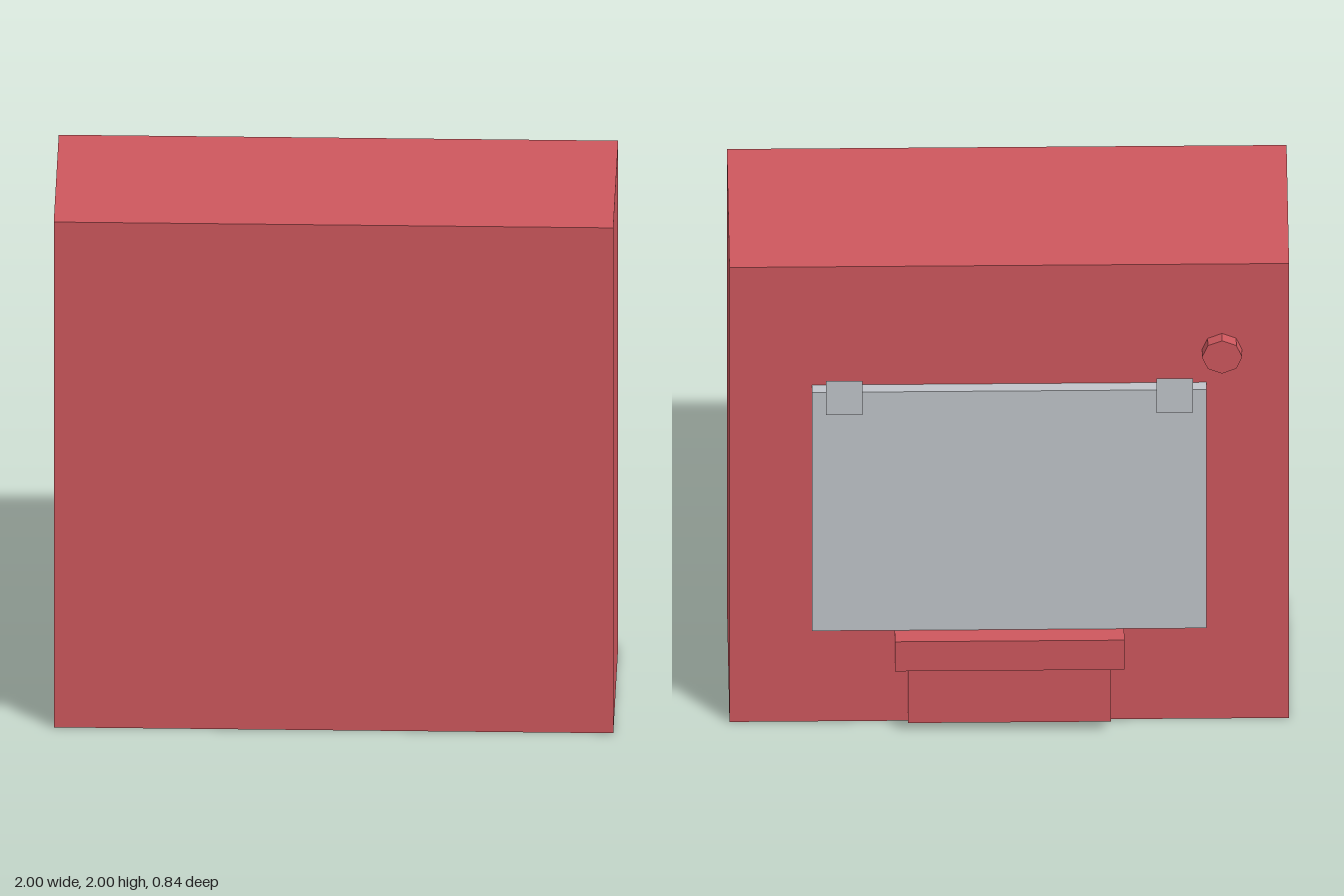
import * as THREE from 'three';

export function createModel() {
  const model = new THREE.Group();
  const red = new THREE.MeshStandardMaterial({ color: 0xcd575d, name: 'red' });
  const grey = new THREE.MeshStandardMaterial({ color: 0xc0c4ca, name: 'grey', side: THREE.DoubleSide });

  const BACK = -0.305; // rear face of the body

  // Box given by its limits on each axis
  function box(name, material, [x0, x1], [y0, y1], [z0, z1], parent = model) {
    const mesh = new THREE.Mesh(new THREE.BoxGeometry(x1 - x0, y1 - y0, z1 - z0), material);
    mesh.position.set((x0 + x1) / 2, (y0 + y1) / 2, (z0 + z1) / 2);
    mesh.name = name;
    parent.add(mesh);
    return mesh;
  }

  // Main block
  box('body', red, [-1, 1], [0, 2], [BACK, 0.42]);

  // Rear panel: a shallow cover, open at the bottom
  const panel = new THREE.Group();
  panel.name = 'rearPanel';
  model.add(panel);
  const t = 0.004;
  box('panelSheet', grey, [-0.705, 0.705], [0.43, 1.48], [-0.35, -0.35 + t], panel);
  box('panelTop', grey, [-0.705, 0.705], [1.48 - t, 1.48], [-0.35 + t, BACK], panel);
  for (const s of [-1, 1]) {
    const x = [s * 0.705, s * (0.705 - t)].sort((a, b) => a - b);
    box('panelSide', grey, x, [0.43, 1.48 - t], [-0.35 + t, BACK], panel);

    // Flat clips over the upper corners
    const clip = new THREE.Mesh(new THREE.PlaneGeometry(0.13, 0.15), grey);
    clip.rotation.y = Math.PI;
    clip.position.set(s * 0.59, 1.47, -0.372);
    clip.name = 'clip';
    panel.add(clip);
  }

  // Ledge and the block beneath it
  box('ledge', red, [-0.41, 0.41], [0.3, 0.43], [-0.42, BACK]);
  box('ledgeBase', red, [-0.363, 0.363], [0.047, 0.3], [-0.385, BACK]);

  // Eight-sided knob with its axis along z
  const knobGeometry = new THREE.CylinderGeometry(0.072, 0.072, 0.045, 8).toNonIndexed();
  knobGeometry.computeVertexNormals();
  const knob = new THREE.Mesh(knobGeometry, red);
  knob.rotation.x = Math.PI / 2;
  knob.position.set(-0.76, 1.622, BACK - 0.0225);
  knob.name = 'knob';
  model.add(knob);

  return model;
}
